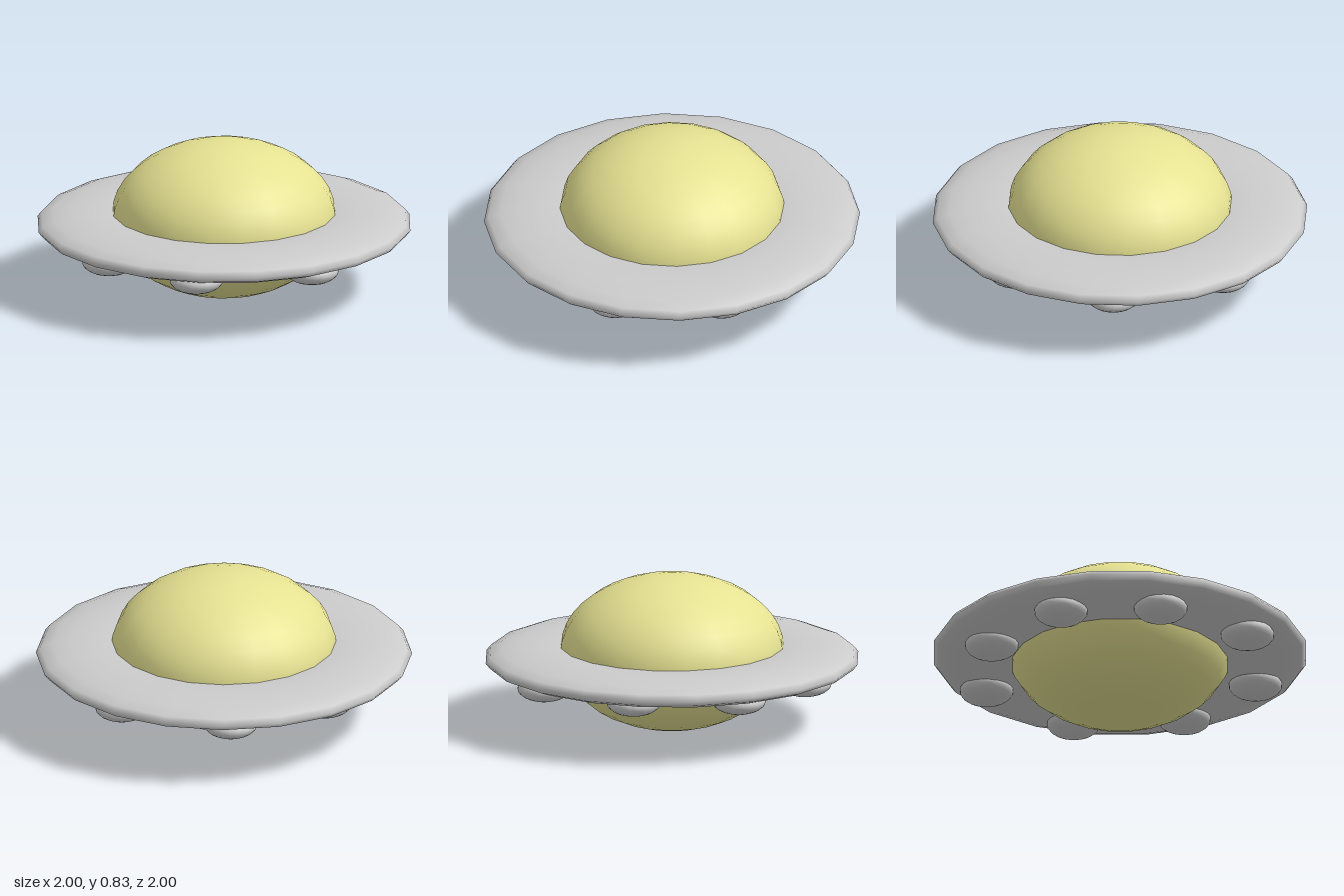
import * as THREE from 'three';

export function createModel() {
  const model = new THREE.Group();
  const grey = new THREE.MeshStandardMaterial({ color: 0xcccccc });
  const yellow = new THREE.MeshStandardMaterial({ color: 0xe6e292 });

  const add = (name, geometry, material, x, y, z) => {
    const mesh = new THREE.Mesh(geometry, material);
    mesh.name = name;
    mesh.position.set(x, y, z);
    model.add(mesh);
  };

  // Central cabin: flattened sphere showing above and below the rim
  const cabin = new THREE.SphereGeometry(0.6, 20, 20).scale(1, 0.69, 1);
  add('cabin', cabin, yellow, 0, 0.42, 0);

  // Saucer rim: flattened torus whose inner edge is buried in the cabin
  const rim = new THREE.TorusGeometry(0.7, 0.3, 16, 20).rotateX(Math.PI / 2).scale(1, 0.25, 1);
  add('rim', rim, grey, 0, 0.385, 0);

  // Underside pods, spaced slightly unevenly around the rim
  const pod = new THREE.SphereGeometry(0.143, 20, 14).scale(1, 0.48, 1);
  const spots = [
    [-0.04, 0.78], [0.545, 0.53], [0.75, 0], [0.54, -0.55],
    [-0.04, -0.775], [-0.54, -0.49], [-0.75, 0.03], [-0.545, 0.52],
  ];
  spots.forEach(([x, z], i) => add(`pod${i + 1}`, pod, grey, x, 0.308, z));

  return model;
}
